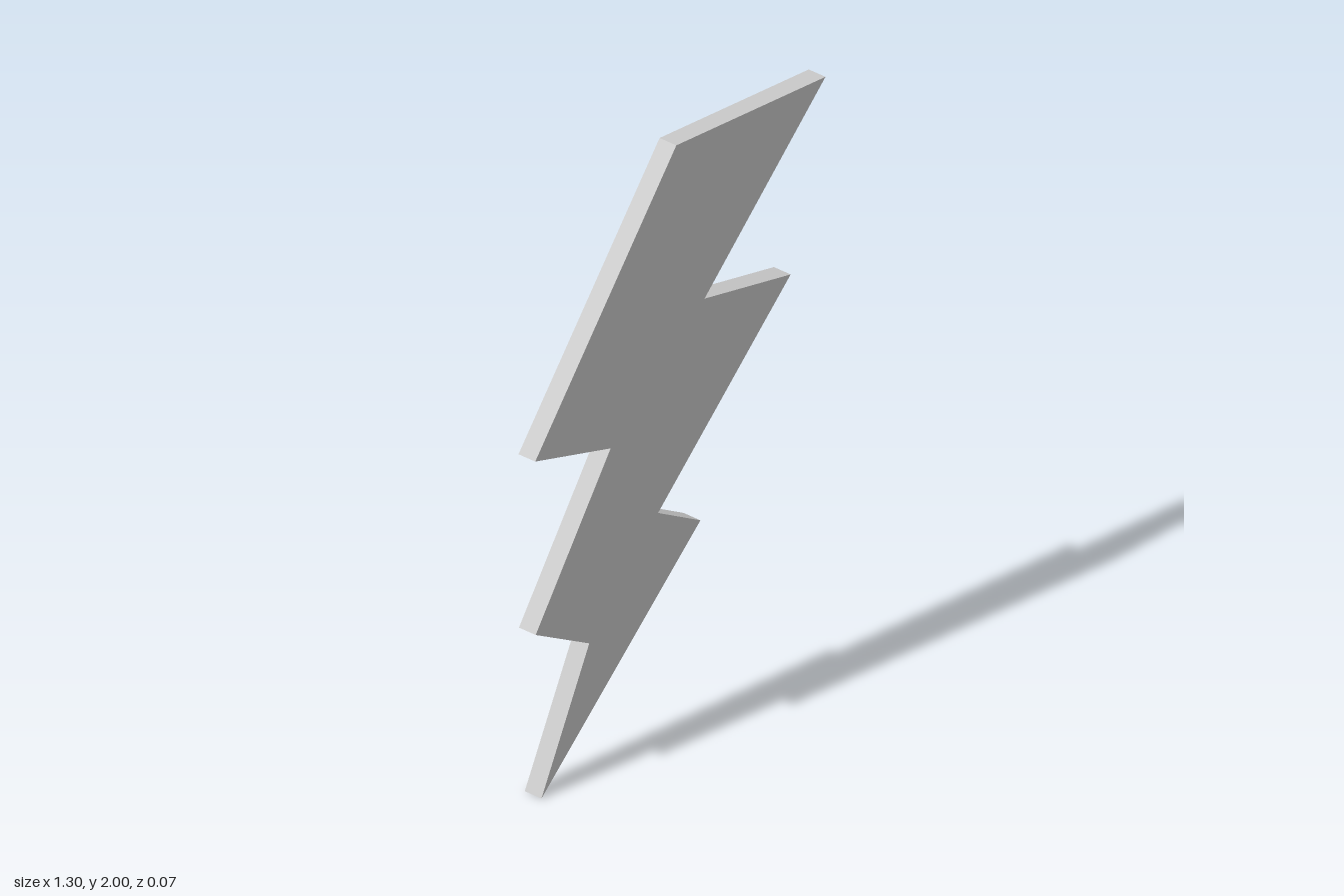
import * as THREE from 'three';

export function createModel() {
  const group = new THREE.Group();
  group.name = 'lightningBolt';

  // Zigzag outline, counter-clockwise from the bottom tip
  const outline = [
    [-0.622, 0], [0.09, 0.664], [-0.1, 0.768], [0.494, 1.344], [0.108, 1.42], [0.65, 1.96],
    [-0.018, 2], [-0.65, 1.172], [-0.312, 1.078], [-0.648, 0.574], [-0.408, 0.446],
  ].map(([x, y]) => new THREE.Vector2(x, y));

  // Flat plate with sharp edges, centred on z = 0
  const depth = 0.068;
  const geometry = new THREE.ExtrudeGeometry(new THREE.Shape(outline), { depth, bevelEnabled: false });
  geometry.translate(0, 0, -depth / 2);

  const bolt = new THREE.Mesh(
    geometry,
    new THREE.MeshStandardMaterial({ color: 0xcccccc, flatShading: true }),
  );
  bolt.name = 'boltPlate';
  group.add(bolt);
  return group;
}
